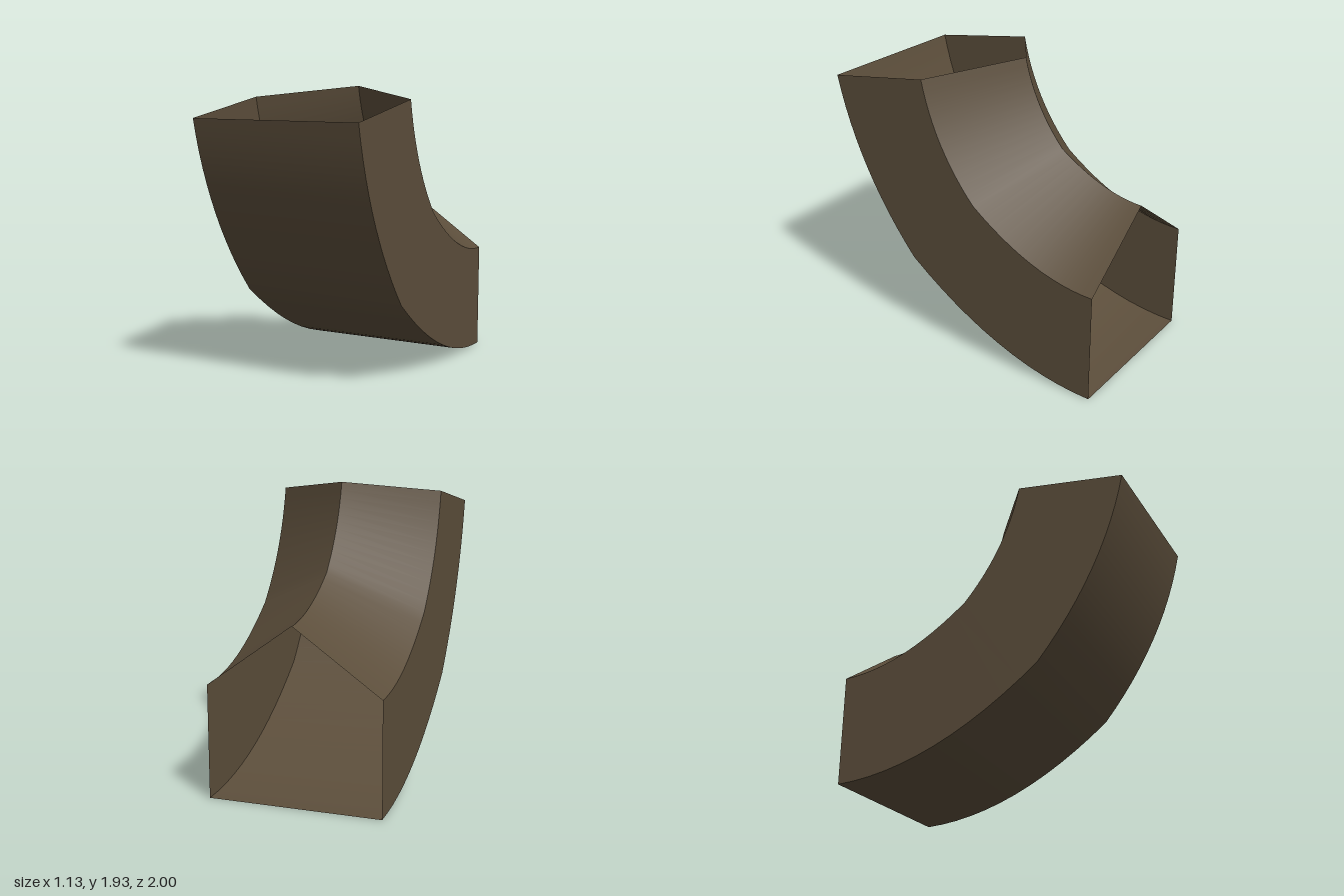
import * as THREE from 'three';

const HALF_WIDTH = 0.565;
const STEPS = 12; // per half of the bend

// A rail runs back end -> bend -> top end, given as [z, y] points of two quadratic curves
function rail(x, [p0, c0, p1, c1, p2]) {
  const v = ([z, y]) => new THREE.Vector3(x, y, z);
  const first = new THREE.QuadraticBezierCurve3(v(p0), v(c0), v(p1)).getPoints(STEPS);
  const second = new THREE.QuadraticBezierCurve3(v(p1), v(c1), v(p2)).getPoints(STEPS);
  return first.concat(second.slice(1));
}

// Smooth panel stretched between two rails; separate panels keep the long edges crisp
function panel(name, a, b, material) {
  const positions = [];
  const index = [];
  a.forEach((p, i) => {
    positions.push(...p.toArray(), ...b[i].toArray());
    if (i < a.length - 1) {
      const k = i * 2;
      index.push(k, k + 1, k + 2, k + 1, k + 3, k + 2);
    }
  });
  const geometry = new THREE.BufferGeometry();
  geometry.setAttribute('position', new THREE.Float32BufferAttribute(positions, 3));
  geometry.setIndex(index);
  geometry.computeVertexNormals();
  const mesh = new THREE.Mesh(geometry, material);
  mesh.name = name;
  return mesh;
}

export function createModel() {
  const group = new THREE.Group();
  group.name = 'curvedDuct';

  const brown = new THREE.MeshStandardMaterial({ color: 0x5c4e3b });
  brown.name = 'brown';
  brown.side = THREE.DoubleSide; // open thin shell

  // Profiles of the bottom edge, the eave and the roof ridge
  const bottom = [[-1, 0], [-0.31, 0.01], [0.4, 0.575], [0.86, 1.11], [1, 1.75]];
  const eave = [[-1, 0.73], [-0.57, 0.735], [-0.11, 1.1], [0.19, 1.43], [0.28, 1.86]];
  const ridge = [[-1, 1.13], [-0.72, 1.145], [-0.41, 1.37], [-0.19, 1.62], [-0.12, 1.93]];

  // Rails in order around the five-sided section
  const rails = [
    rail(-HALF_WIDTH, bottom),
    rail(HALF_WIDTH, bottom),
    rail(HALF_WIDTH, eave),
    rail(0, ridge),
    rail(-HALF_WIDTH, eave),
  ];
  const names = ['floor', 'leftWall', 'leftRoof', 'rightRoof', 'rightWall'];
  names.forEach((name, i) => {
    group.add(panel(name, rails[i], rails[(i + 1) % rails.length], brown));
  });

  return group;
}
